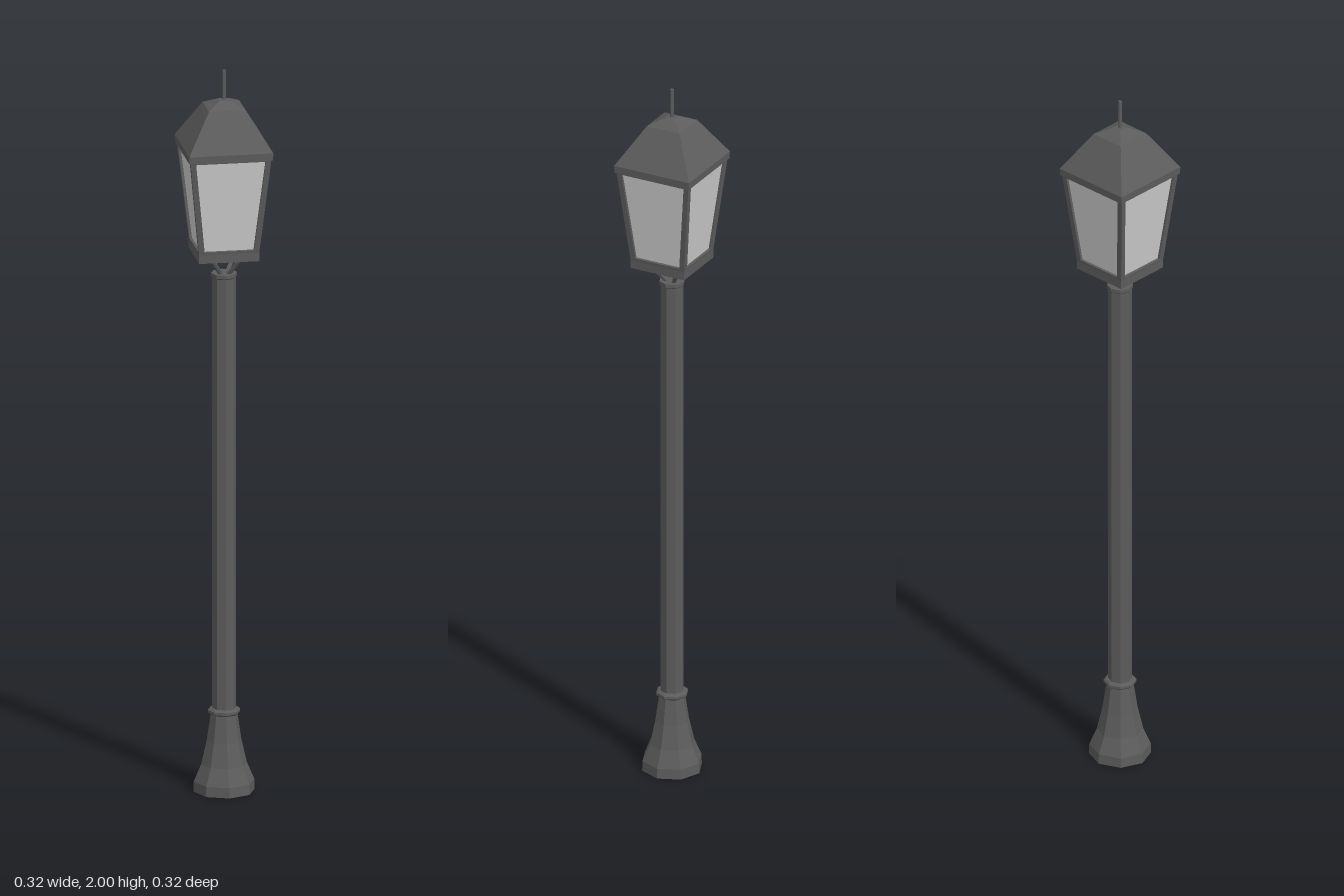
import * as THREE from 'three';

const metal = new THREE.MeshStandardMaterial({ color: 0x5c5c5c, flatShading: true });
const glass = new THREE.MeshStandardMaterial({ color: 0xcccccc, flatShading: true, side: THREE.DoubleSide });

function add(parent, name, geometry, material = metal) {
  const mesh = new THREE.Mesh(geometry, material);
  mesh.name = name;
  parent.add(mesh);
  return mesh;
}

// Faceted turned part from [radius, height] pairs, listed bottom to top
function turned(profile, sides) {
  return new THREE.LatheGeometry(profile.map(([r, y]) => new THREE.Vector2(r, y)), sides);
}

// Corners of an upright trapezoid standing on y = y0
function trapezoid(bottomHalf, topHalf, y0, y1) {
  return [[-bottomHalf, y0], [bottomHalf, y0], [topHalf, y1], [-topHalf, y1]]
    .map(([x, y]) => new THREE.Vector2(x, y));
}

// Straight rod between two points
function rod(from, to, radius) {
  return new THREE.TubeGeometry(new THREE.LineCurve3(from, to), 1, radius, 6);
}

export function createModel() {
  const lamp = new THREE.Group();
  lamp.name = 'streetLamp';

  // Octagonal post
  add(lamp, 'base', turned([[0, 0], [0.083, 0], [0.082, 0.028], [0.062, 0.075], [0.047, 0.14], [0.036, 0.215], [0, 0.215]], 8));
  add(lamp, 'collar', turned([[0, 0.213], [0.038, 0.213], [0.044, 0.218], [0.044, 0.225], [0.038, 0.23], [0, 0.23]], 8));
  add(lamp, 'pole', turned([[0.032, 0.21], [0.032, 1.425], [0.035, 1.428], [0.035, 1.438], [0, 1.438]], 8));

  // Lantern supports, spreading from the pole top to the tray
  for (let i = 0; i < 4; i++) {
    const strut = add(lamp, 'strut', rod(new THREE.Vector3(0.008, 1.428, 0), new THREE.Vector3(0.064, 1.495, 0), 0.006));
    strut.rotation.y = i * Math.PI / 2;
  }

  const lantern = new THREE.Group();
  lantern.name = 'lantern';
  lamp.add(lantern);

  // Square tray below the panes
  add(lantern, 'tray', turned([[0, 1.488], [0.115, 1.488], [0.115, 1.512], [0, 1.512]], 4));

  // Four flared sides, each a frame around a recessed pane
  const y0 = 1.505, y1 = 1.785;
  const low = 0.114 / Math.SQRT2, high = 0.156 / Math.SQRT2;
  const tilt = Math.atan2(high - low, y1 - y0);
  const length = Math.hypot(high - low, y1 - y0);
  const outline = new THREE.Shape(trapezoid(low, high, 0, length));
  const opening = trapezoid(low - 0.014, high - 0.016, 0.014, length - 0.014);
  outline.holes.push(new THREE.Path(opening.slice().reverse()));
  const frameGeometry = new THREE.ExtrudeGeometry(outline, { depth: 0.012, bevelEnabled: false });
  frameGeometry.translate(0, 0, -0.012);
  const paneGeometry = new THREE.ShapeGeometry(new THREE.Shape(opening));
  paneGeometry.translate(0, 0, -0.007);

  for (let i = 0; i < 4; i++) {
    const turn = new THREE.Group();
    turn.name = 'lanternSide';
    turn.rotation.y = Math.PI / 4 + i * Math.PI / 2;
    const panel = new THREE.Group();
    panel.name = 'panel';
    panel.position.set(0, y0, low);
    panel.rotation.x = tilt;
    add(panel, 'frame', frameGeometry);
    add(panel, 'pane', paneGeometry, glass);
    turn.add(panel);
    lantern.add(turn);
  }

  // Pyramidal roof and its finial
  add(lantern, 'roof', turned([[0, 1.775], [0.16, 1.775], [0.161, 1.795], [0.07, 1.9], [0.02, 1.918], [0, 1.919]], 4));
  const finial = add(lantern, 'finial', new THREE.CylinderGeometry(0.005, 0.005, 0.09, 8));
  finial.position.y = 1.955;

  return lamp;
}
